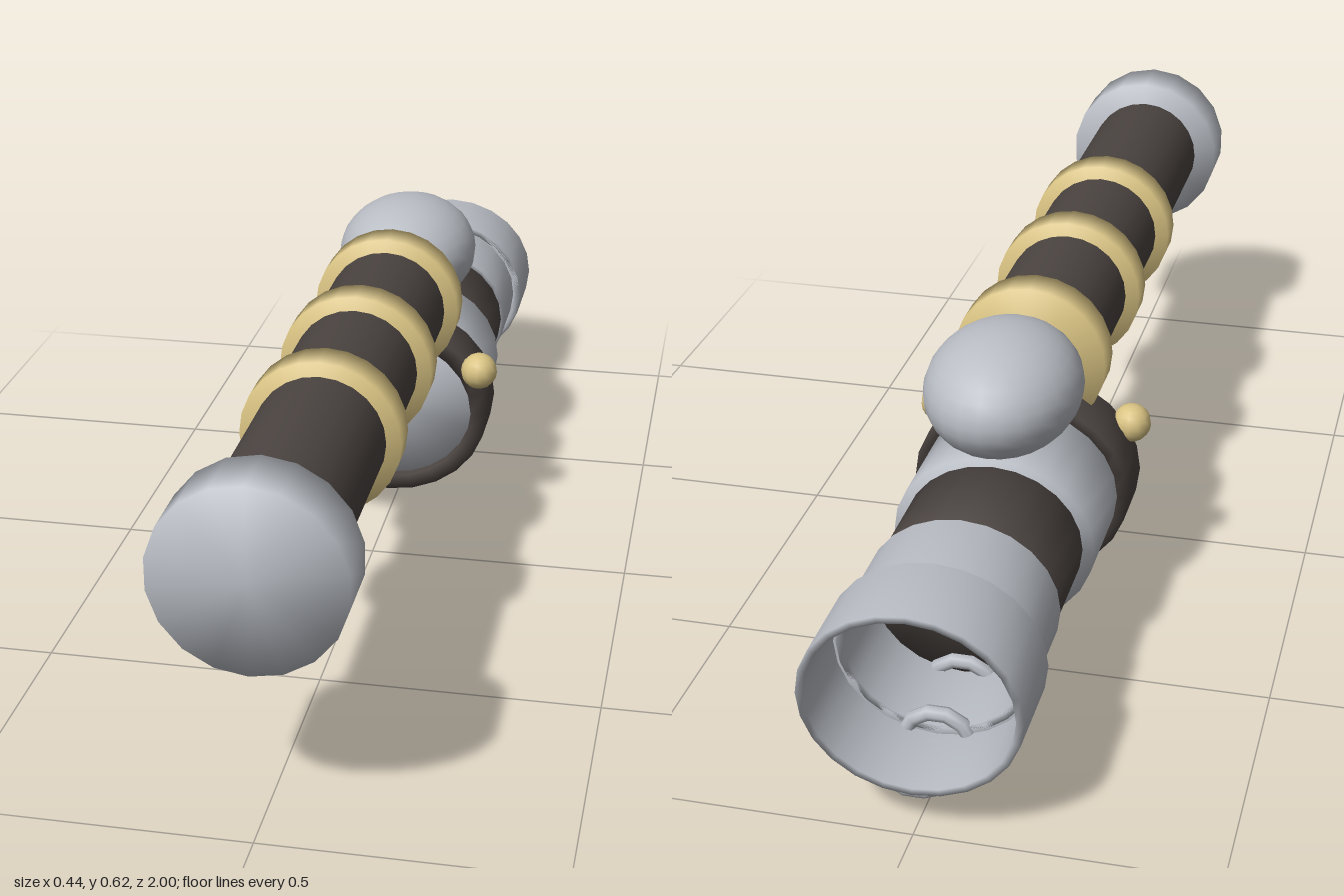
import * as THREE from 'three';
import { mergeVertices } from 'three/addons/utils/BufferGeometryUtils.js';

const material = (name, color) => {
  const m = new THREE.MeshStandardMaterial({ color });
  m.name = name;
  return m;
};

// Share every vertex so that shading rolls softly over the rims
function soften(geometry) {
  geometry.deleteAttribute('normal');
  geometry.deleteAttribute('uv');
  const g = mergeVertices(geometry, 1e-5);
  g.computeVertexNormals();
  return g;
}

export function createModel() {
  const model = new THREE.Group();
  model.name = 'cannonArm';
  const silver = material('silver', 0xb9bdc4);
  const dark = material('darkBrownGrey', 0x4b4441);
  const gold = material('gold', 0xd9c383);

  function add(name, geometry, mat, x, y, z) {
    const mesh = new THREE.Mesh(geometry, mat);
    mesh.name = name;
    mesh.position.set(x, y, z);
    model.add(mesh);
    return mesh;
  }

  // Solid elliptical drum along z, from z0 (back) to z1 (front)
  function drum(name, mat, y, rx, ry, z0, z1, sides = 24) {
    const g = new THREE.CylinderGeometry(1, 1, z1 - z0, sides);
    g.rotateX(Math.PI / 2).scale(rx, ry, 1);
    return add(name, soften(g), mat, 0, y, (z0 + z1) / 2);
  }

  // Open elliptical sleeve along z; wall is a fraction of the radius
  function sleeve(name, mat, y, rx, ry, z0, z1, wall) {
    const h = (z1 - z0) / 2, i = 1 - wall;
    const profile = [[i, -h], [1, -h], [1, h], [i, h], [i, -h]].map(p => new THREE.Vector2(...p));
    const g = new THREE.LatheGeometry(profile, 24);
    g.rotateX(Math.PI / 2).scale(rx, ry, 1);
    return add(name, soften(g), mat, 0, y, (z0 + z1) / 2);
  }

  // Upper long tube with its nose cap and gold bands
  const tubeY = 0.4625;
  drum('longTube', dark, tubeY, 0.115, 0.115, -0.2, 0.9);
  drum('noseCap', silver, tubeY, 0.16, 0.16, 0.89, 1, 18);
  for (const z of [0.447, 0.137, -0.178]) {
    drum('goldBand', gold, tubeY, 0.141, 0.141, z - 0.033, z + 0.033);
  }

  // Lower barrel, front to back
  const barrelY = 0.24;
  sleeve('frontCollar', dark, barrelY, 0.2, 0.18, -0.28, -0.165, 0.16);
  drum('frontPlug', silver, barrelY, 0.167, 0.151, -0.3, -0.185);
  drum('frontDrum', silver, barrelY, 0.18, 0.162, -0.48, -0.27);
  drum('middleDrum', dark, barrelY + 0.003, 0.16, 0.144, -0.69, -0.47);
  sleeve('rearSleeve', silver, barrelY + 0.004, 0.167, 0.151, -0.85, -0.68, 0.08);
  sleeve('endSleeve', silver, barrelY + 0.003, 0.184, 0.165, -1, -0.84, 0.07);
  sleeve('endStep', silver, barrelY + 0.003, 0.182, 0.163, -0.85, -0.84, 0.14);

  // Egg-shaped dome on top of the barrel
  const dome = new THREE.SphereGeometry(1, 24, 16);
  dome.scale(0.138, 0.11, 0.178);
  add('dome', dome, silver, 0, 0.5, -0.391);

  // Gold knobs on both sides of the collar
  for (const side of [-1, 1]) {
    add('sideKnob', new THREE.SphereGeometry(0.036, 12, 10), gold, side * 0.183, 0.335, -0.166);
  }

  // Chain under the barrel: flat and upright links in turn
  for (let i = 0; i < 5; i++) {
    const link = new THREE.TorusGeometry(0.059, 0.0135, 8, 12);
    link.rotateZ(Math.PI / 12);
    const flat = i % 2 === 0;
    if (flat) link.rotateX(Math.PI / 2);
    add('chainLink', link, silver, 0, flat ? 0.077 : 0.07, -0.615 - i * 0.0775);
  }
  return model;
}
